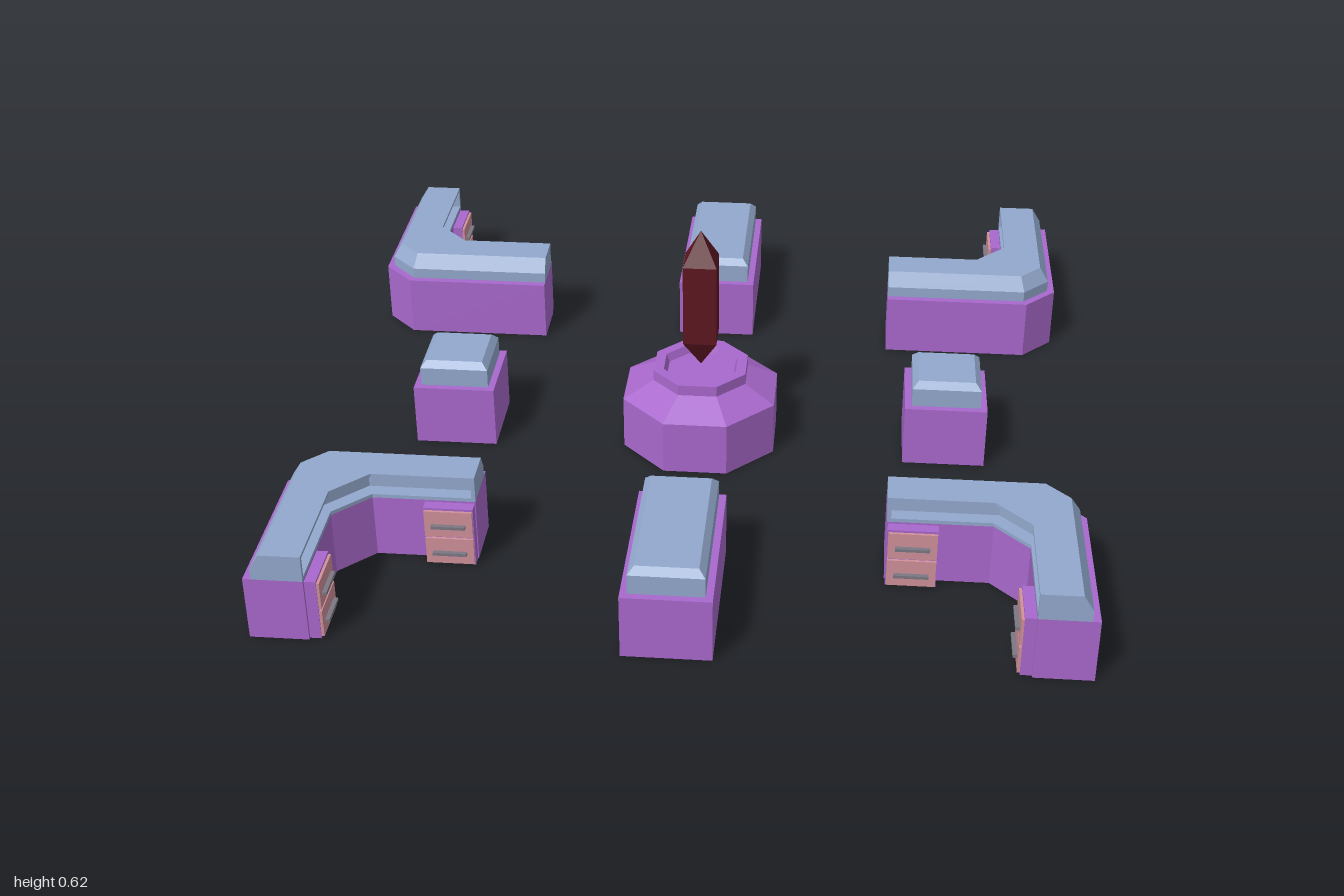
import * as THREE from 'three';

const mat = (color) => new THREE.MeshStandardMaterial({ color, flatShading: true });
const PURPLE = mat(0xa868cc), BLUE = mat(0x92a8cc), SALMON = mat(0xd0909a);
const GREY = mat(0x7c7884), RED = mat(0x5c1620);

function add(parent, name, geometry, material, x = 0, y = 0, z = 0) {
  const mesh = new THREE.Mesh(geometry, material);
  mesh.name = name;
  mesh.position.set(x, y, z);
  parent.add(mesh);
  return mesh;
}

// Closed solid through stacked outlines: levels are { y, pts: [[x, z], ...] }
function loft(levels) {
  const rings = levels.map(({ y, pts }) => {
    const ring = pts.map(([x, z]) => new THREE.Vector2(x, -z));
    if (THREE.ShapeUtils.area(ring) < 0) ring.reverse();
    return ring.map((p) => [p.x, y, -p.y]);
  });
  const out = [];
  const tri = (a, b, c) => out.push(...a, ...b, ...c);
  const cap = (ring, up) => {
    const flat = ring.map((p) => new THREE.Vector2(p[0], -p[2]));
    for (const [a, b, c] of THREE.ShapeUtils.triangulateShape(flat, [])) {
      if (up) tri(ring[a], ring[b], ring[c]);
      else tri(ring[a], ring[c], ring[b]);
    }
  };
  for (let k = 0; k < rings.length - 1; k++) {
    const lo = rings[k], hi = rings[k + 1];
    for (let i = 0; i < lo.length; i++) {
      const j = (i + 1) % lo.length;
      tri(lo[i], lo[j], hi[j]);
      tri(lo[i], hi[j], hi[i]);
    }
  }
  cap(rings[0], false);
  cap(rings[rings.length - 1], true);
  const g = new THREE.BufferGeometry();
  g.setAttribute('position', new THREE.Float32BufferAttribute(out, 3));
  g.computeVertexNormals();
  return g;
}

// L-shaped outline, its outer side inset by o and its inner side by i
function cornerOutline(sx, sz, o, i) {
  const t = Math.SQRT2 - 1;
  return [
    [1 - o, 1], [1 - o, 0.585 + t * o], [0.915 - t * o, 0.5 + o], [0.51, 0.5 + o],
    [0.51, 0.64 - i], [0.77 + t * i, 0.64 - i], [0.855 + i, 0.725 - t * i], [0.855 + i, 1],
  ].map(([x, z]) => [x * sx, z * sz]);
}

// Drawer unit whose front faces +z before it is turned
function drawerUnit(name, x, z, angle) {
  const unit = new THREE.Group();
  unit.name = name;
  unit.position.set(x, 0, z);
  unit.rotation.y = angle;
  add(unit, 'drawerCabinet', new THREE.BoxGeometry(0.125, 0.165, 0.028), PURPLE, 0, 0.0825, 0.014);
  for (const y of [0.042, 0.122]) {
    add(unit, 'drawerFront', new THREE.BoxGeometry(0.121, 0.074, 0.008), SALMON, 0, y, 0.031);
    add(unit, 'drawerHandle', new THREE.BoxGeometry(0.086, 0.008, 0.012), GREY, 0, y - 0.004, 0.04);
  }
  return unit;
}

function cornerCounter(sx, sz) {
  const group = new THREE.Group();
  group.name = 'cornerCounter';
  const level = (y, o, i) => ({ y, pts: cornerOutline(sx, sz, o, i) });
  add(group, 'counterBase', loft([level(0, 0, 0), level(0.17, 0, 0)]), PURPLE);
  // Display top: bevelled outside, shallow recess on the inner side
  const d = 0.036;
  add(group, 'displayTop', loft([
    level(0.17, 0.02, 0), level(0.18, 0.02, 0), level(0.18, 0.02, d), level(0.2, 0.02, d),
    level(0.232, 0.04, d), level(0.232, 0.04, 0), level(0.24, 0.045, 0),
  ]), BLUE);
  // End panels closing the recess
  add(group, 'endPanel', new THREE.BoxGeometry(d, 0.053, 0.01), BLUE,
    sx * (0.855 + d / 2), 0.206, sz * 0.995);
  add(group, 'endPanel', new THREE.BoxGeometry(0.01, 0.053, d), BLUE,
    sx * 0.515, 0.206, sz * (0.64 - d / 2));
  group.add(drawerUnit('longDrawerUnit', sx * 0.575, sz * 0.64, sz > 0 ? 0 : Math.PI));
  group.add(drawerUnit('sideDrawerUnit', sx * 0.855, sz * 0.93, -sx * Math.PI / 2));
  return group;
}

// Straight kiosk: plain base with a bevelled display top
function kiosk(name, x, z, w, l) {
  const group = new THREE.Group();
  group.name = name;
  group.position.set(x, 0, z);
  const level = (y, inset) => {
    const a = w / 2 - inset, b = l / 2 - inset;
    return { y, pts: [[a, b], [a, -b], [-a, -b], [-a, b]] };
  };
  add(group, 'kioskBase', loft([level(0, 0), level(0.17, 0)]), PURPLE);
  add(group, 'kioskTop', loft([level(0.17, 0.018), level(0.222, 0.018), level(0.24, 0.034)]), BLUE);
  return group;
}

// Lathe with flat sides squared to the axes; radii are measured to the flats
function faceted(profile, sides) {
  const k = 1 / Math.cos(Math.PI / sides);
  const g = new THREE.LatheGeometry(profile.map(([r, y]) => new THREE.Vector2(r * k, y)), sides);
  return g.rotateY(Math.PI / sides);
}

export function createModel() {
  const model = new THREE.Group();
  model.name = 'kioskPlaza';
  for (const s of [-1, 1]) {
    for (const t of [-1, 1]) model.add(cornerCounter(s, t));
    model.add(kiosk('longKiosk', 0, s * 0.778, 0.22, 0.444));
    model.add(kiosk('smallKiosk', s * 0.667, 0, 0.22, 0.22));
  }
  // Octagonal pedestal with a sunken top, and the crystal standing in it
  const centre = new THREE.Group();
  centre.name = 'centrepiece';
  add(centre, 'pedestal', faceted([
    [0, 0], [0.205, 0], [0.205, 0.148], [0.125, 0.192], [0.125, 0.222],
    [0.098, 0.222], [0.09, 0.2], [0, 0.2],
  ], 8), PURPLE);
  add(centre, 'crystal', faceted([
    [0, 0.22], [0.045, 0.305], [0.045, 0.535], [0, 0.625],
  ], 4), RED);
  model.add(centre);
  return model;
}
